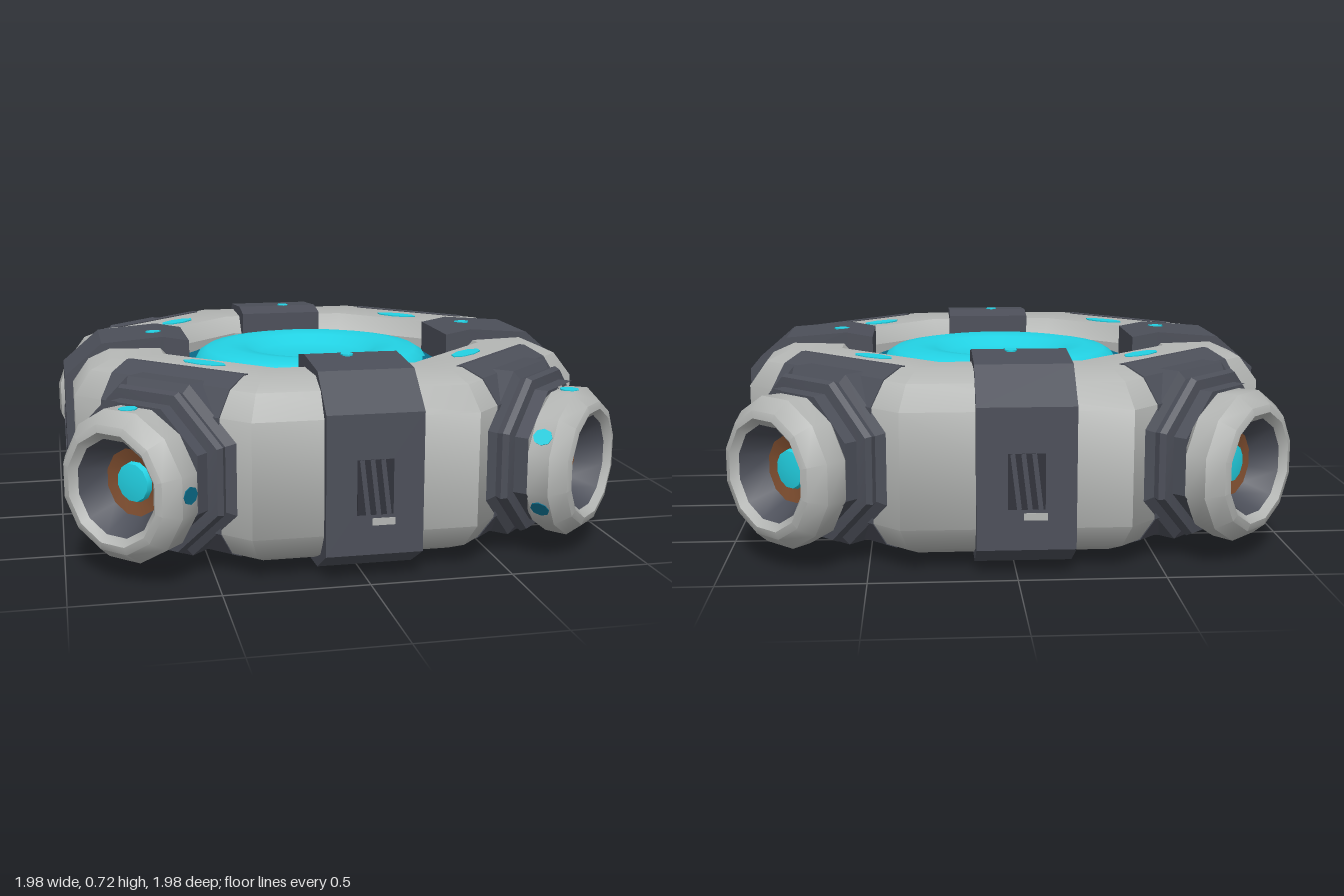
import * as THREE from 'three';
import { toCreasedNormals } from 'three/addons/utils/BufferGeometryUtils.js';

const MID = 0.367; // height of the horizontal symmetry plane
const mat = (name, color) => {
  const m = new THREE.MeshStandardMaterial({ color });
  m.name = name;
  return m;
};

export function createModel() {
  const light = mat('light grey', 0xb4b6b4);
  const dark = mat('dark grey', 0x4c4f59);
  const shadow = mat('vent black', 0x30323a);
  const cyan = mat('bright cyan', 0x22d2e4);
  const teal = mat('deep teal', 0x0b6e8c);
  const rust = mat('rust orange', 0x7c4c2e);

  const root = new THREE.Group();
  root.name = 'ringDevice';
  const core = new THREE.Group();
  core.name = 'core';
  core.position.y = MID;
  root.add(core);

  const add = (parent, name, geo, material, x = 0, y = 0, z = 0) => {
    const m = new THREE.Mesh(geo, material);
    m.name = name;
    m.position.set(x, y, z);
    parent.add(m);
    return m;
  };
  // turned part; crease in radians decides which edges stay sharp
  const lathe = (pts, sides, crease) => toCreasedNormals(
    new THREE.LatheGeometry(pts.map(p => new THREE.Vector2(p[0], p[1])), sides, Math.PI / sides), crease);
  // octagonal turned part, given by distances to its flat sides
  const octagon = (pts, crease) => lathe(pts.map(([r, y]) => [r / Math.cos(Math.PI / 8), y]), 8, crease);
  // turned part with its axis along +x
  const sideways = (geo) => geo.rotateZ(-Math.PI / 2);
  // outline in the radial plane, widened evenly to both sides
  const strap = (pts, width) => new THREE.ExtrudeGeometry(
    new THREE.Shape(pts.map(p => new THREE.Vector2(p[0], p[1]))),
    { depth: width, bevelEnabled: false }).translate(0, 0, -width / 2);

  // octagonal ring body
  add(core, 'ringBody', octagon([
    [0.55, -0.25], [0.61, -0.315], [0.8, -0.32], [0.88, -0.285], [0.94, -0.2],
    [0.94, 0.2], [0.88, 0.285], [0.8, 0.32], [0.61, 0.315], [0.55, 0.25], [0.55, -0.25],
  ], 0.65), light);

  // glowing dish with its sloped surround, above and below
  const surroundGeo = octagon([[0.575, 0.19], [0.4, 0.26]], 0.4);
  const dishGeo = lathe([
    [0.465, 0.23], [0.445, 0.262], [0.415, 0.28], [0.34, 0.293], [0.26, 0.283],
    [0.21, 0.255], [0.1, 0.243], [0, 0.25],
  ], 32, 1);
  const spotGeo = new THREE.CylinderGeometry(0.5, 0.5, 0.008, 8);
  for (const side of [0, 1]) {
    const face = new THREE.Group();
    face.name = side ? 'bottomFace' : 'topFace';
    face.rotation.x = side * Math.PI;
    core.add(face);
    add(face, 'dishSurround', surroundGeo, teal);
    add(face, 'dish', dishGeo, cyan);
    for (let i = 0; i < 4; i++) {
      const arm = new THREE.Group();
      arm.name = 'faceLights';
      arm.rotation.y = i * Math.PI / 2;
      face.add(arm);
      // small light on each band
      add(arm, 'bandLight', spotGeo, cyan, 0.625, 0.356).scale.set(0.06, 1, 0.045);
      // long light on each diagonal of the ring
      const dash = add(arm, 'ringLight', spotGeo, cyan, 0.485, 0.317, 0.485);
      dash.scale.set(0.07, 1, 0.19);
      dash.rotation.y = -Math.PI / 4;
    }
  }

  // four dark bands clamped round the ring
  const bandGeo = strap([
    [0.5, -0.32], [0.6, -0.36], [0.83, -0.345], [0.97, -0.265],
    [0.97, 0.22], [0.83, 0.34], [0.6, 0.358], [0.5, 0.34],
  ], 0.335);
  const slatGeo = new THREE.BoxGeometry(0.008, 0.19, 0.016);
  [0.03, -0.03, 0.035, -0.02].forEach((offset, i) => {
    const band = new THREE.Group();
    band.name = 'bandAssembly';
    band.rotation.y = i * Math.PI / 2;
    core.add(band);
    add(band, 'band', bandGeo, dark, 0, 0, offset);
    // slanted vent
    add(band, 'ventPanel', new THREE.BoxGeometry(0.008, 0.19, 0.125), shadow, 0.968, -0.03, offset);
    for (let k = -1; k <= 1; k++) {
      add(band, 'ventSlat', slatGeo, dark, 0.971, -0.03, offset + k * 0.036).rotation.x = 0.12;
    }
    // worn light patch under the vent
    const wide = i === 0;
    add(band, 'wornPatch', new THREE.BoxGeometry(0.008, wide ? 0.115 : 0.025, wide ? 0.32 : 0.08),
      light, 0.968, wide ? -0.205 : -0.15, offset - (wide ? 0 : 0.03));
  });

  // four corner nozzles: dark skin on the ring, stepped collar, light tip
  const skinGeo = strap([
    [0.83, -0.311], [0.882, -0.288], [0.944, -0.201],
    [0.944, 0.201], [0.882, 0.289], [0.801, 0.324], [0.78, 0.323],
  ], 0.52);
  const collarGeo = sideways(octagon([
    [0.315, 0.86], [0.315, 0.94], [0.285, 0.96], [0.295, 0.985], [0.285, 1.005], [0.25, 1.01], [0.25, 1.06],
  ], 0.4)).scale(1, 0.95, 1.04);
  const nozzleGeo = sideways(lathe([
    [0.235, 1.03], [0.262, 1.055], [0.265, 1.135], [0.222, 1.187], [0.195, 1.193], [0.17, 1.17],
  ], 12, 0.7));
  const boreGeo = sideways(lathe([[0.17, 1.17], [0.118, 1.08]], 12, 0.7));
  const innerRingGeo = sideways(lathe([[0.118, 1.08], [0.07, 1.065]], 12, 0.7));
  const emitterGeo = sideways(lathe([[0.072, 1.06], [0.066, 1.085], [0, 1.095]], 12, 0.7));
  // painted spots on the nozzle walls: angle round the nozzle in degrees, colour
  const spots = [
    [[30, dark]],
    [],
    [[90, cyan], [180, teal]],
    [[90, cyan], [30, cyan], [-30, teal], [180, cyan]],
  ];
  for (let i = 0; i < 4; i++) {
    const corner = new THREE.Group();
    corner.name = 'cornerNozzle';
    corner.rotation.y = Math.PI / 4 + i * Math.PI / 2;
    core.add(corner);
    add(corner, 'cornerSkin', skinGeo, dark);
    add(corner, 'collar', collarGeo, dark);
    const tip = new THREE.Group();
    tip.name = 'nozzleTip';
    tip.position.y = -0.027;
    corner.add(tip);
    add(tip, 'nozzle', nozzleGeo, light);
    add(tip, 'bore', boreGeo, dark);
    add(tip, 'innerRing', innerRingGeo, rust);
    add(tip, 'emitter', emitterGeo, cyan);
    for (const [angle, colour] of spots[i]) {
      const a = angle * Math.PI / 180;
      const spot = add(tip, 'paintSpot', spotGeo, colour, 1.095, Math.sin(a) * 0.2545, Math.cos(a) * 0.2545);
      spot.rotation.x = Math.PI / 2 - a;
      spot.scale.set(0.07, 1, 0.06);
    }
  }
  return root;
}
